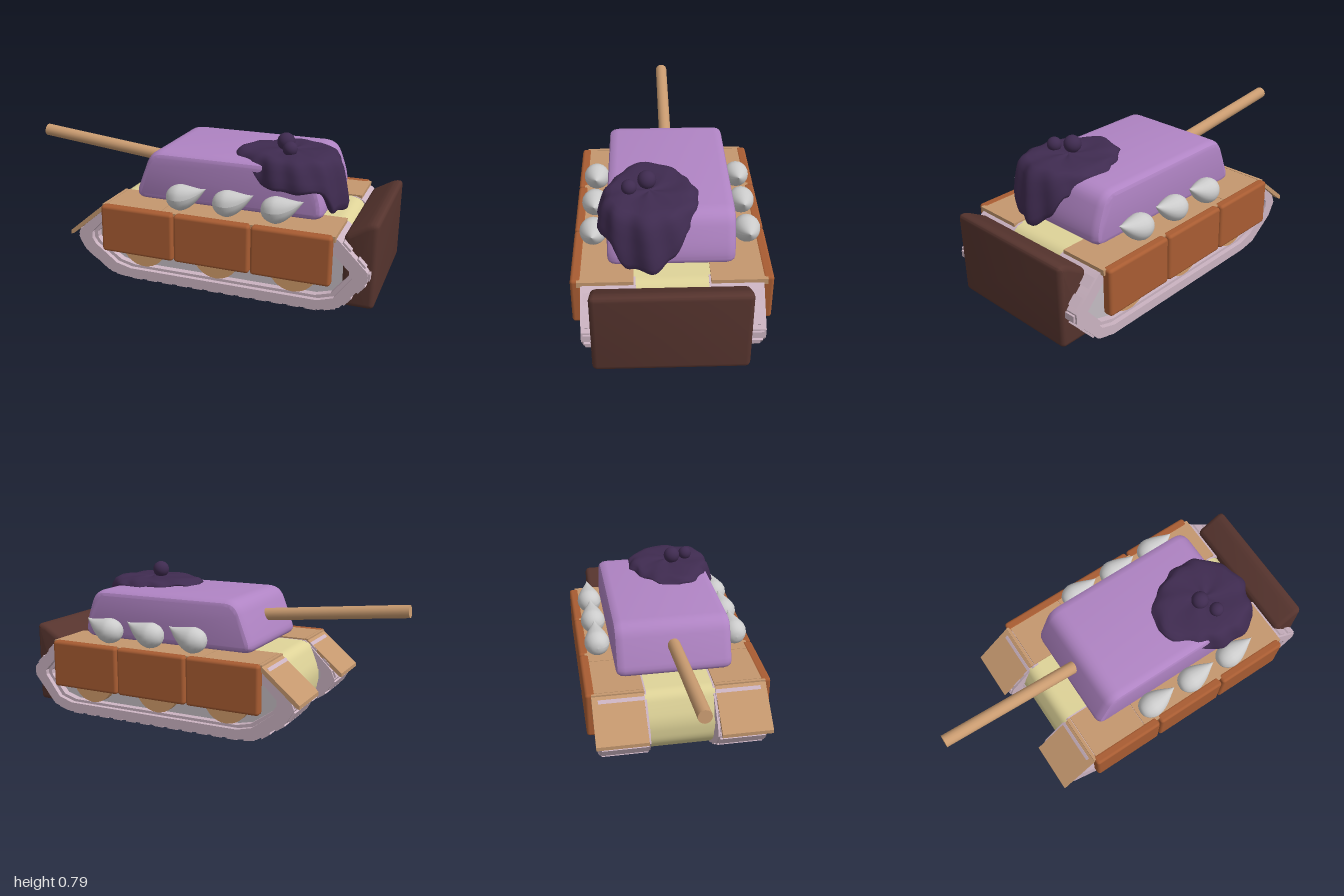
import * as THREE from 'three';
import { toCreasedNormals } from 'three/addons/utils/BufferGeometryUtils.js';
import { RoundedBoxGeometry } from 'three/addons/geometries/RoundedBoxGeometry.js';

const mat = (color) => new THREE.MeshStandardMaterial({ color, roughness: 0.8, side: THREE.DoubleSide });
const vecs = (pts) => pts.map(([x, y]) => new THREE.Vector2(x, y));

// Polygon with every corner rounded by radius r
function roundedShape(pts, r) {
  const p = vecs(pts), n = p.length, s = new THREE.Shape();
  p.forEach((c, i) => {
    const near = (o) => c.clone().lerp(o, Math.min(0.45, r / c.distanceTo(o)));
    const a = near(p[(i + n - 1) % n]), b = near(p[(i + 1) % n]);
    if (i) s.lineTo(a.x, a.y); else s.moveTo(a.x, a.y);
    s.quadraticCurveTo(c.x, c.y, b.x, b.y);
  });
  s.closePath();
  return s;
}

// Side profile extruded from z0 to z1, with the bevel kept inside the outline
function prism(shape, z0, z1, bevel = 0, bevelZ = bevel) {
  const g = new THREE.ExtrudeGeometry(shape, {
    depth: z1 - z0 - 2 * bevelZ, bevelEnabled: bevel > 0, bevelSize: bevel,
    bevelThickness: bevelZ, bevelOffset: -bevel, bevelSegments: 3, curveSegments: 6,
  });
  g.translate(0, 0, z0 + bevelZ);
  return toCreasedNormals(g, 0.6);
}

// Teardrop lathed along x with its tip curling upward
function dropGeometry() {
  const profile = vecs([[0, -0.075], [0.03, -0.068], [0.052, -0.048], [0.065, -0.018], [0.066, 0.01],
    [0.056, 0.045], [0.038, 0.08], [0.018, 0.11], [0, 0.137]]);
  const curve = new THREE.SplineCurve(profile).getPoints(24);
  curve.forEach((v) => { v.x = Math.max(0, v.x); });
  const g = new THREE.LatheGeometry(curve, 20);
  g.rotateZ(-Math.PI / 2);
  const p = g.attributes.position;
  for (let i = 0; i < p.count; i++) {
    const x = p.getX(i);
    p.setY(i, p.getY(i) + 3.2 * Math.max(0, x) ** 2);
  }
  g.computeVertexNormals();
  return g;
}

// Syrup sheet: rings run from the middle over the rim and down to a varying drip line
function syrupGeometry() {
  const radius = [0.285, 0.27, 0.28, 0.265, 0.25, 0.25, 0.25, 0.28, 0.3, 0.275, 0.24, 0.23, 0.235, 0.235, 0.255, 0.265];
  const drip = [0.42, 0.43, 0.54, 0.555, 0.55, 0.57, 0.63, 0.67, 0.67, 0.67, 0.67, 0.67, 0.67, 0.665, 0.6, 0.47];
  const rings = [[0.02, 0], [0.3, 0], [0.55, 0], [0.72, 0.02], [0.82, 0.08], [0.89, 0.22], [0.93, 0.42],
    [0.97, 0.65], [1, 0.86], [0.98, 0.97], [0.93, 1], [0.87, 0.97], [0.8, 0.8]];
  const around = 96, pos = [], idx = [];
  const sample = (t, a) => {
    const f = t * 16, i = Math.floor(f), k = f - i, w = k * k * (3 - 2 * k);
    return a[i % 16] * (1 - w) + a[(i + 1) % 16] * w;
  };
  rings.forEach(([f, d], j) => {
    for (let i = 0; i < around; i++) {
      const t = i / around, a = t * Math.PI * 2;
      const r = f * sample(t, radius) * (1 + 0.025 * f * Math.sin(a * 11 + d * 2));
      const low = sample(t, drip) + 0.008 * Math.sin(a * 9);
      const y = 0.71 + (low - 0.71) * d + 0.003 * Math.sin(a * 5 + j);
      pos.push(0.504 + r * Math.cos(a), y, 0.097 + r * Math.sin(a));
      if (j) {
        const n = (i + 1) % around, b = j * around, c = b - around;
        idx.push(c + i, c + n, b + i, c + n, b + n, b + i);
      }
    }
  });
  const top = pos.length / 3;
  pos.push(0.504, 0.71, 0.097);
  for (let i = 0; i < around; i++) idx.push(top, (i + 1) % around, i);
  const g = new THREE.BufferGeometry();
  g.setAttribute('position', new THREE.Float32BufferAttribute(pos, 3));
  g.setIndex(idx);
  g.computeVertexNormals();
  return g;
}

export function createModel() {
  const model = new THREE.Group();
  model.name = 'dessertTank';
  const tank = new THREE.Group();
  tank.name = 'tank';
  tank.rotation.y = -0.042;
  tank.position.z = -0.018;
  model.add(tank);

  const add = (name, geometry, material, x = 0, y = 0, z = 0) => {
    const m = new THREE.Mesh(geometry, material);
    m.name = name;
    m.position.set(x, y, z);
    tank.add(m);
    return m;
  };
  const biscuit = mat(0xc4976e), wheelMat = mat(0xcf9a69), skirtMat = mat(0xa85c32);
  const trackMat = mat(0xcbb3c1), panelMat = mat(0xc3bbc2), cream = mat(0xcccccc);
  const syrup = mat(0x3f2b50), turretMat = mat(0xb084c4);

  // Hull between the tracks
  const hull = roundedShape([[-0.42, 0.4], [-0.48, 0.25], [-0.47, 0.12], [-0.36, 0.015], [0.74, 0.015],
    [0.86, 0.12], [0.86, 0.3], [0.81, 0.4]], 0.05);
  add('hull', prism(hull, -0.18, 0.18), mat(0xded398));

  // Track outline and its opening
  const outline = [[-0.57, 0.2], [-0.53, 0.13], [-0.38, 0.025], [-0.28, 0.01], [0.74, 0.01], [0.84, 0.04],
    [0.965, 0.19], [0.965, 0.24], [0.82, 0.385], [0.78, 0.4], [-0.4, 0.4], [-0.55, 0.25]];
  const inner = [[-0.49, 0.2], [-0.47, 0.17], [-0.35, 0.08], [-0.27, 0.06], [0.73, 0.06], [0.81, 0.085],
    [0.895, 0.2], [0.895, 0.225], [0.79, 0.335], [0.76, 0.35], [-0.38, 0.35], [-0.49, 0.235]];
  const lane = (side, a, b) => (side > 0 ? [a, b] : [-b, -a]);

  for (const side of [1, -1]) {
    const tag = side > 0 ? 'left' : 'right';
    const ring = new THREE.Shape(vecs(outline));
    ring.holes.push(new THREE.Path(vecs(inner)));
    add(tag + 'Track', prism(ring, ...lane(side, 0.17, 0.425)), trackMat);
    // Stepped rim and recessed side panel
    const lip = new THREE.Shape(vecs(inner));
    lip.holes.push(new THREE.Path(vecs(inner.map(([x, y]) => [0.2 + (x - 0.2) * 0.97, 0.2 + (y - 0.2) * 0.9]))));
    add(tag + 'TrackRim', prism(lip, ...lane(side, 0.2, 0.4)), trackMat);
    add(tag + 'SidePanel', prism(new THREE.Shape(vecs(inner)), ...lane(side, 0.19, 0.365)), panelMat);

    // Tread slats along each edge of the outline
    outline.forEach((p, i) => {
      const q = outline[(i + 1) % outline.length];
      if (p[1] > 0.38 && q[1] > 0.38) return;
      const dx = q[0] - p[0], dy = q[1] - p[1], len = Math.hypot(dx, dy), n = Math.max(1, Math.round(len / 0.085));
      for (let k = 0; k < n; k++) {
        const t = (k + 0.5) / n;
        const slat = add(tag + 'Tread', new THREE.BoxGeometry(Math.min(0.055, len * 0.7), 0.02, 0.235), trackMat,
          p[0] + dx * t, p[1] + dy * t, side * 0.297);
        slat.rotation.z = Math.atan2(dy, dx);
      }
    });

    for (let i = 0; i < 3; i++) {
      // Wheels
      const wheel = add(tag + 'Wheel', new THREE.CylinderGeometry(0.125, 0.125, 0.1, 32), wheelMat,
        -0.2 + i * 0.4, 0.2, side * 0.355);
      wheel.rotation.x = Math.PI / 2;
      // Skirt panels with bevelled edges
      add(tag + 'SkirtPanel', new RoundedBoxGeometry(0.398, 0.25, 0.055, 2, 0.016), skirtMat,
        -0.207 + i * 0.404, 0.285, side * 0.448);
      // Cream drops
      add(tag + 'CreamDrop', dropGeometry(), cream, i * 0.25, 0.475, side * 0.375);
    }

    // Deck slabs over the tracks
    for (const [x0, x1] of [[-0.41, -0.393], [-0.39, -0.085], [-0.082, 0.81]]) {
      add(tag + 'Deck', new THREE.BoxGeometry(x1 - x0, 0.03, 0.265), biscuit, (x0 + x1) / 2, 0.393, side * 0.312);
    }
    // Sloping front mudguard
    const guard = new THREE.Shape(vecs([[-0.4, 0.408], [-0.605, 0.235], [-0.605, 0.215], [-0.59, 0.22], [-0.4, 0.38]]));
    add(tag + 'Mudguard', prism(guard, ...lane(side, 0.183, 0.445)), biscuit);
  }

  // Turret
  const turret = roundedShape([[-0.305, 0.41], [-0.205, 0.675], [0.645, 0.675], [0.71, 0.5], [0.71, 0.41]], 0.07);
  add('turret', prism(turret, -0.302, 0.302, 0.03, 0.045), turretMat);

  // Gun barrel
  const from = new THREE.Vector3(-0.998, 0.642, 0), to = new THREE.Vector3(-0.2, 0.558, 0);
  const mid = from.clone().add(to).multiplyScalar(0.5);
  const barrel = add('barrel', new THREE.CylinderGeometry(0.033, 0.033, from.distanceTo(to), 16), mat(0xc99b70),
    mid.x, mid.y, mid.z);
  barrel.quaternion.setFromUnitVectors(new THREE.Vector3(0, 1, 0), to.clone().sub(from).normalize());

  // Rear slab
  const slab = roundedShape([[0.835, 0.03], [0.995, 0.03], [0.995, 0.465], [0.955, 0.465], [0.835, 0.395]], 0.025);
  add('rearSlab', prism(slab, -0.36, 0.38, 0.025), mat(0x56342e));

  // Syrup with two berries
  add('syrup', syrupGeometry(), syrup);
  add('largeBerry', new THREE.SphereGeometry(0.045, 24, 16), syrup, 0.465, 0.745, 0.11);
  add('smallBerry', new THREE.SphereGeometry(0.037, 24, 16), syrup, 0.51, 0.733, 0.195);

  return model;
}
